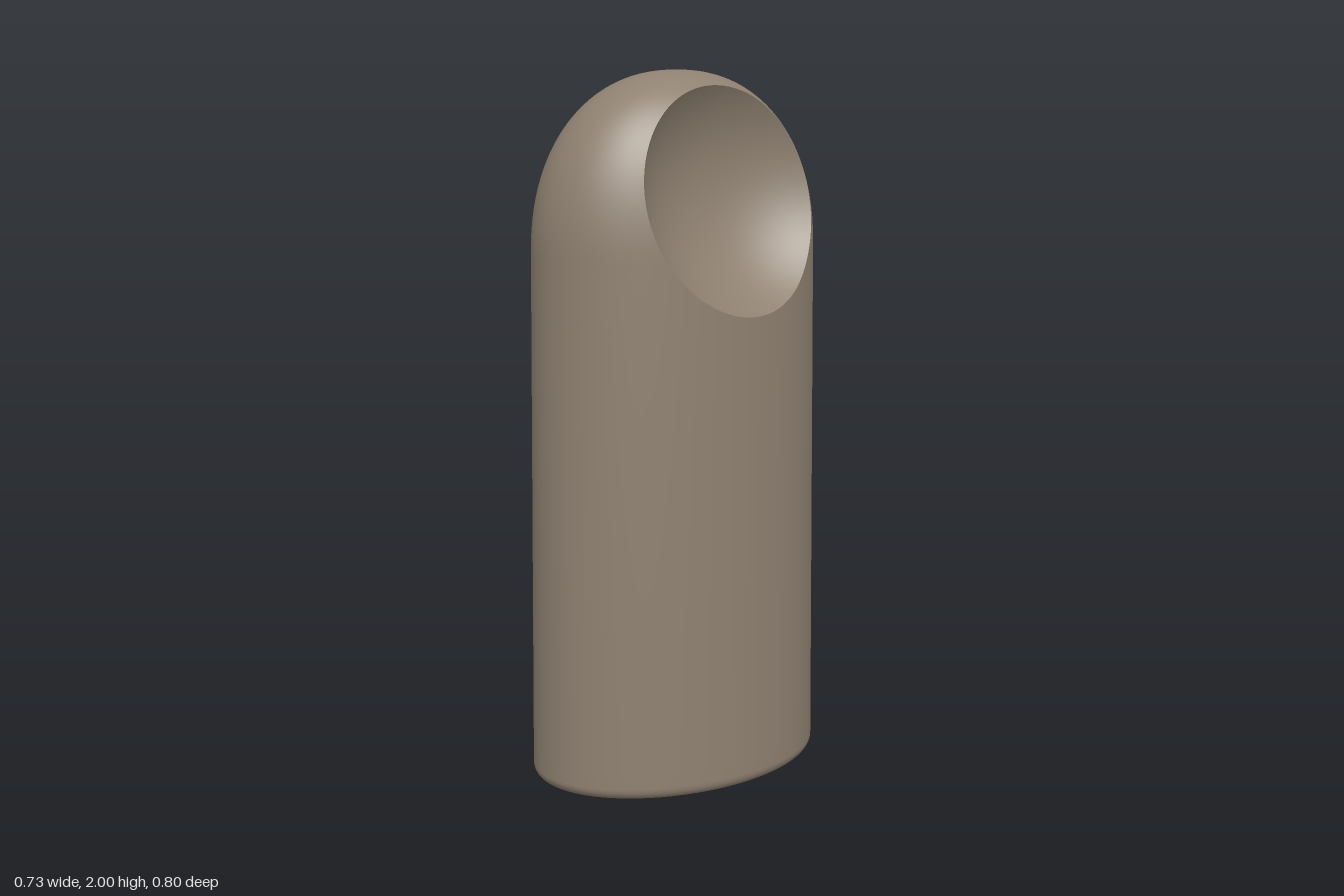
import * as THREE from 'three';
import { mergeVertices } from 'three/addons/utils/BufferGeometryUtils.js';

// Oval column with a domed top and a spherical hollow scooped from one side
const MAJOR = 0.445, MINOR = 0.308;
const DIR = new THREE.Vector2(0.61, -0.79).normalize(); // long axis of the oval (x, z)
const BALL = new THREE.Vector3(0.48, 1.74, 0.24), BALL_R = 0.46;
const HEIGHT = 2, DOME = 1.5, BEVEL = 0.035;

// Width of the column at height y, relative to the footprint
function widthAt(y) {
  let s = 1 - 0.035 * Math.min(y / DOME, 1);
  if (y > DOME) s *= Math.pow(Math.max(0, 1 - Math.pow((y - DOME) / (HEIGHT - DOME), 2.2)), 1 / 2.2);
  if (y < BEVEL) s *= 0.92 + 0.08 * Math.sqrt(1 - (1 - y / BEVEL) ** 2);
  return s;
}

function bodyPoint(y, a, s = widthAt(y)) {
  const u = MAJOR * s * Math.cos(a), v = MINOR * s * Math.sin(a);
  return new THREE.Vector3(u * DIR.x - v * DIR.y, y, u * DIR.y + v * DIR.x);
}

// Positive where the column's surface lies inside the scooping ball
const inside = (y, a) => BALL_R - bodyPoint(y, a).distanceTo(BALL);

function bisect(test, yes, no) {
  for (let i = 0; i < 40; i++) {
    const m = (yes + no) / 2;
    if (test(m)) yes = m; else no = m;
  }
  return yes;
}

// Angle at height y that is nearest the ball
function nearest(y) {
  let lo = Math.PI / 2 - 1.6, hi = Math.PI / 2 + 1.6;
  for (let i = 0; i < 60; i++) {
    const m1 = lo + (hi - lo) / 3, m2 = hi - (hi - lo) / 3;
    if (inside(y, m1) < inside(y, m2)) lo = m1; else hi = m2;
  }
  return (lo + hi) / 2;
}

// The two rim angles at height y (equal where there is no hollow)
function rimAt(y) {
  const m = nearest(y);
  if (inside(y, m) <= 1e-9) return [m, m];
  const test = (a) => inside(y, a) > 0;
  return [bisect(test, m, m - 1.8), bisect(test, m, m + 1.8)];
}

// Smooth grid surface from point(row, t) with t running 0..1 along each row
function loft(rows, columns, point) {
  const pos = [], index = [], w = columns + 1;
  rows.forEach((row, j) => {
    for (let i = 0; i <= columns; i++) {
      pos.push(...point(row, i / columns).toArray());
      if (j && i) {
        const b = j * w + i, a = b - 1, d = b - w, c = d - 1;
        index.push(c, a, d, d, a, b);
      }
    }
  });
  let geo = new THREE.BufferGeometry();
  geo.setAttribute('position', new THREE.Float32BufferAttribute(pos, 3));
  geo.setIndex(index);
  geo = mergeVertices(geo, 1e-5);
  geo.computeVertexNormals();
  return geo;
}

export function createModel() {
  const group = new THREE.Group();
  const clay = new THREE.MeshStandardMaterial({ color: 0x8f8171 });
  clay.name = 'warm grey';
  const add = (name, geo) => {
    const mesh = new THREE.Mesh(geo, clay);
    mesh.name = name;
    group.add(mesh);
  };

  // Heights: base rounding, straight shaft, hollow, crown
  const touches = (y) => inside(y, nearest(y)) > 0;
  const low = bisect(touches, 1.7, 1.0), high = bisect(touches, 1.7, HEIGHT);
  const heights = [];
  for (let i = 0; i < 8; i++) heights.push(BEVEL * (1 - Math.cos((i / 8) * Math.PI / 2)));
  for (let i = 0; i < 30; i++) heights.push(BEVEL + (low - BEVEL) * i / 30);
  const hollow = [];
  for (let i = 0; i <= 70; i++) hollow.push(low + (high - low) * (1 - Math.cos(Math.PI * i / 70)) / 2);
  heights.push(...hollow);
  for (let i = 1; i <= 14; i++) heights.push(HEIGHT - (HEIGHT - high) * (1 - i / 14) ** 2);

  const withRim = (y) => ({ y, rim: rimAt(y) });

  // Column wall and dome, running round from one side of the rim to the other
  add('body', loft(heights.map(withRim), 128, ({ y, rim }, t) =>
    bodyPoint(y, rim[1] + t * (rim[0] + Math.PI * 2 - rim[1]))));

  // Hollow: arcs of the ball between the two rim points at each height
  add('scoopedHollow', loft(hollow.map(withRim), 40, ({ y, rim }, t) => {
    const [p, q] = rim.map((a) => bodyPoint(y, a));
    const angle = (v) => Math.atan2(v.z - BALL.z, v.x - BALL.x);
    const a0 = angle(p);
    let turn = angle(q) - a0;
    if (turn > Math.PI) turn -= Math.PI * 2;
    if (turn < -Math.PI) turn += Math.PI * 2;
    const r = Math.hypot(p.x - BALL.x, p.z - BALL.z);
    const a = a0 + turn * t;
    return new THREE.Vector3(BALL.x + r * Math.cos(a), y, BALL.z + r * Math.sin(a));
  }));

  // Flat underside
  add('base', loft([0, widthAt(0)], 128, (s, t) => bodyPoint(0, t * Math.PI * 2, s)));

  return group;
}
